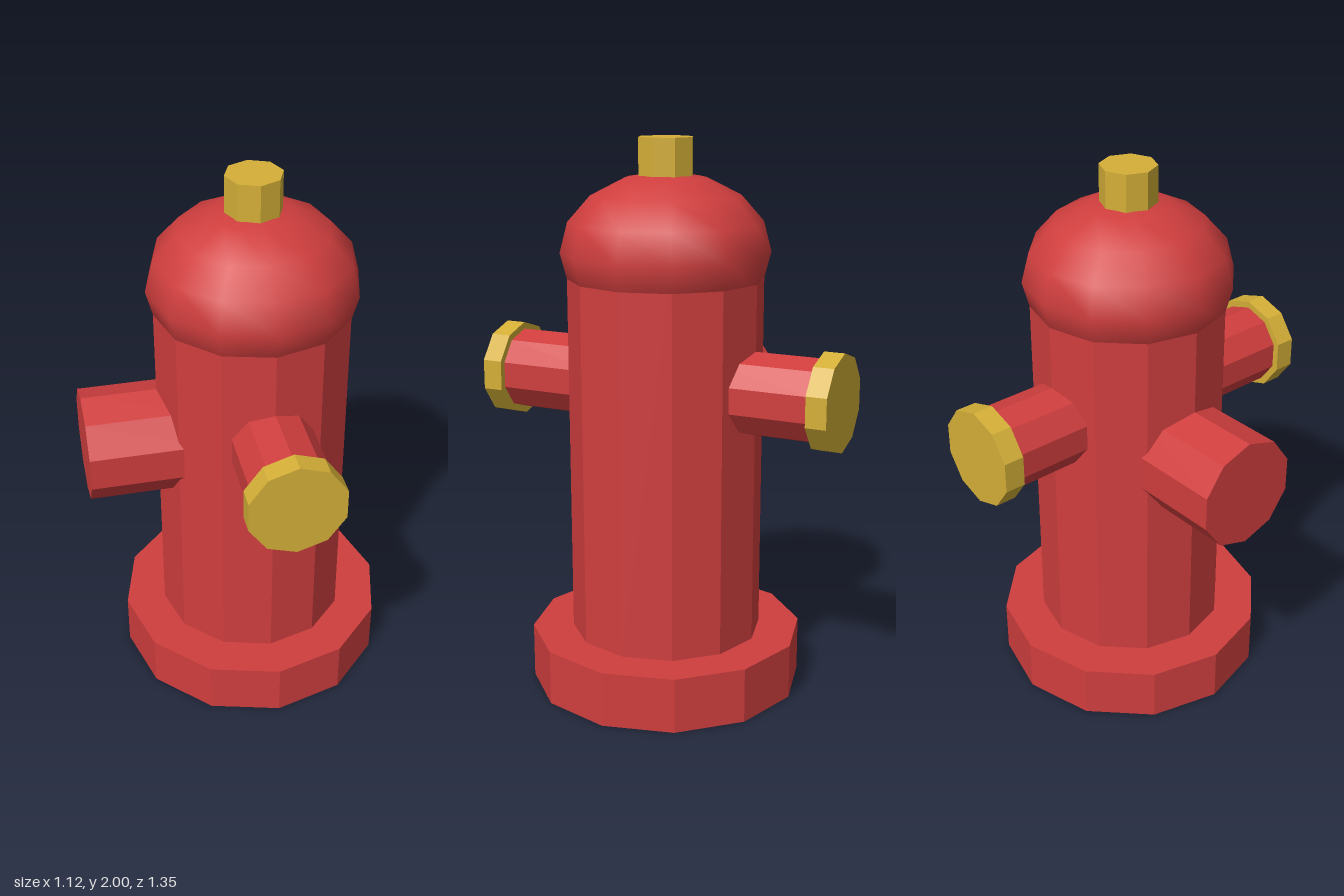
import * as THREE from 'three';

export function createModel() {
  const model = new THREE.Group();
  model.name = 'fireHydrant';

  const red = new THREE.MeshStandardMaterial({ color: 0xd03e3e });
  red.name = 'red paint';
  const gold = new THREE.MeshStandardMaterial({ color: 0xd4af37 });
  gold.name = 'brass';

  const axisX = 0.06; // the barrel stands off centre to balance the side outlet

  const add = (name, geometry, material) => {
    const mesh = new THREE.Mesh(geometry, material);
    mesh.name = name;
    model.add(mesh);
    return mesh;
  };

  // Faceted cylinder along y, from one height to another
  const prism = (radius, from, to, sides) => {
    const g = new THREE.CylinderGeometry(radius, radius, to - from, sides);
    g.translate(0, (from + to) / 2, 0);
    const flat = g.toNonIndexed();
    flat.computeVertexNormals();
    return flat;
  };

  // Upright parts
  add('base', prism(0.5, 0, 0.2, 12), red).position.x = axisX;
  add('barrel', prism(0.35, 0.2, 1.6, 12), red).position.x = axisX;
  add('topNut', prism(0.1, 1.8, 2, 8), gold).position.x = axisX;

  // Smooth, slightly flattened dome overhanging the barrel
  const dome = add('dome', new THREE.SphereGeometry(0.374, 12, 8), red);
  dome.scale.y = 0.757;
  dome.position.set(axisX, 1.6, 0);

  // Front and back hose outlets with their caps
  for (const [side, turn] of [['front', 0], ['back', Math.PI]]) {
    const parts = [
      ['Outlet', prism(0.15, 0.2, 0.6, 10), red],
      ['OutletCap', prism(0.175, 0.6, 0.675, 10), gold],
    ];
    for (const [part, geometry, material] of parts) {
      geometry.rotateX(Math.PI / 2).rotateY(turn);
      add(side + part, geometry, material).position.set(axisX, 1.125, 0);
    }
  }

  // Large outlet on the model's right
  const pumper = prism(0.2, 0.2, 0.62, 10);
  pumper.rotateX(Math.PI / 2).rotateY(-Math.PI / 2);
  add('largeOutlet', pumper, red).position.set(axisX, 1, 0);

  return model;
}
